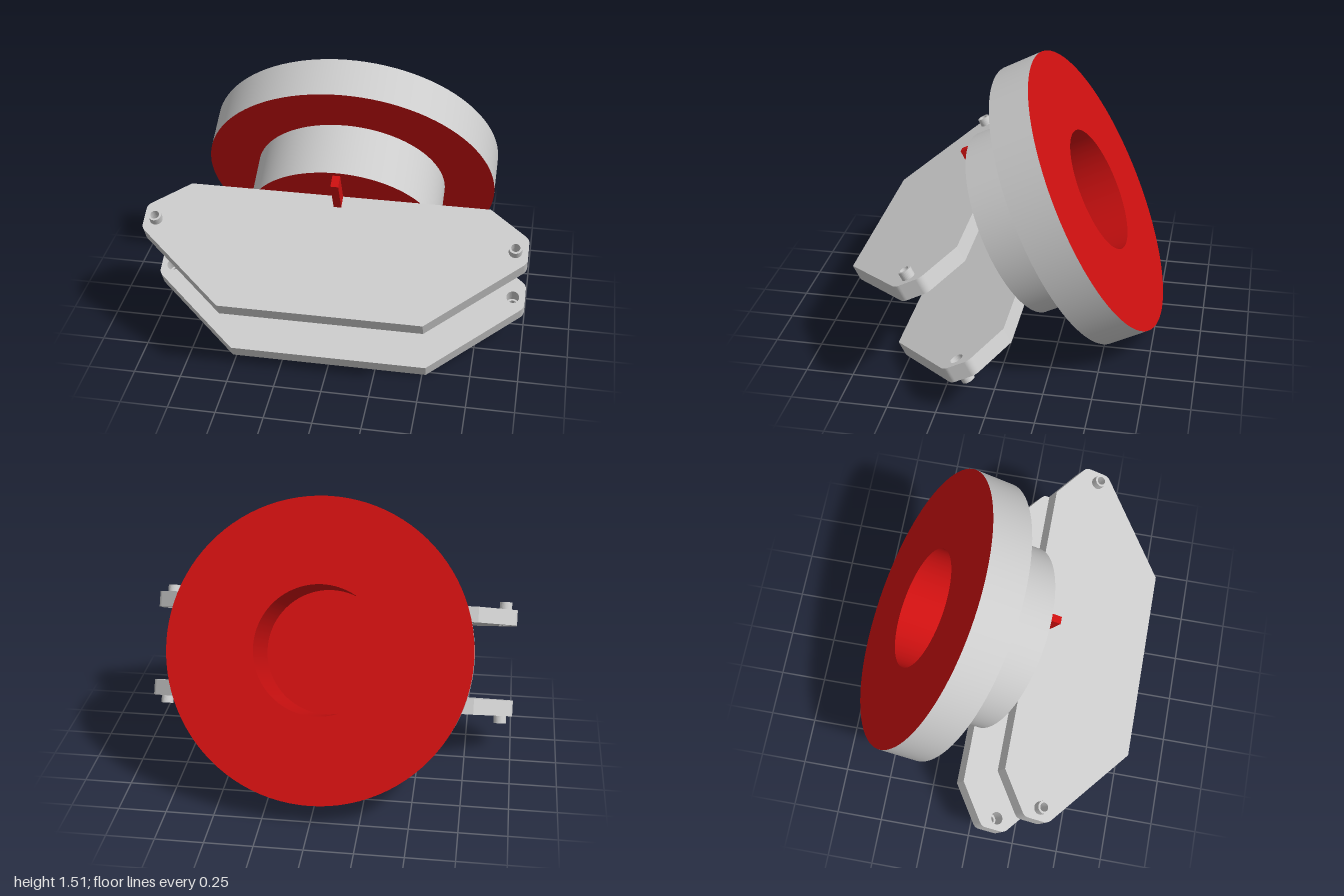
import * as THREE from 'three';

const grey = new THREE.MeshStandardMaterial({ color: 0xcccccc });
const red = new THREE.MeshStandardMaterial({ color: 0xcc1010 });

const HUB_FRONT = 0.517;
const PLATE_END = 1.215;
const PLATE_TOP = 0.29;
const PLATE_THICK = 0.085;
const HOLE = { x: 0.935, z: 0.752, r: 0.034 };

function add(parent, name, geometry, material) {
  const mesh = new THREE.Mesh(geometry, material);
  mesh.name = name;
  parent.add(mesh);
  return mesh;
}

// One straight band of the turned profile, spun around the z axis
function band(r0, z0, r1, z1) {
  const points = [new THREE.Vector2(r0, z0), new THREE.Vector2(r1, z1)];
  return new THREE.LatheGeometry(points, 96).rotateX(Math.PI / 2);
}

// Plate outline in x (width) and z (forward), with a hole at each tip
function plateGeometry() {
  const s = new THREE.Shape();
  s.moveTo(-0.79, HUB_FRONT);
  s.lineTo(0.79, HUB_FRONT);
  s.lineTo(0.98, 0.657);
  s.quadraticCurveTo(1, 0.672, 1, 0.695);
  s.lineTo(1, 0.785);
  s.quadraticCurveTo(1, 0.81, 0.98, 0.827);
  s.lineTo(0.52, PLATE_END);
  s.lineTo(-0.52, PLATE_END);
  s.lineTo(-0.98, 0.827);
  s.quadraticCurveTo(-1, 0.81, -1, 0.785);
  s.lineTo(-1, 0.695);
  s.quadraticCurveTo(-1, 0.672, -0.98, 0.657);
  s.closePath();
  for (const side of [-1, 1]) {
    const hole = new THREE.Path();
    hole.absarc(side * HOLE.x, HOLE.z, HOLE.r, 0, Math.PI * 2, true);
    s.holes.push(hole);
  }
  return new THREE.ExtrudeGeometry(s, { depth: PLATE_THICK, bevelEnabled: false, curveSegments: 16 })
    .rotateX(Math.PI / 2)
    .translate(0, PLATE_THICK / 2, 0);
}

// Short hollow collar standing around a hole
function collarGeometry(height) {
  const s = new THREE.Shape();
  s.absarc(0, 0, HOLE.r, 0, Math.PI * 2, false);
  const bore = new THREE.Path();
  bore.absarc(0, 0, 0.023, 0, Math.PI * 2, true);
  s.holes.push(bore);
  return new THREE.ExtrudeGeometry(s, { depth: height, bevelEnabled: false, curveSegments: 16 })
    .rotateX(Math.PI / 2)
    .translate(0, height / 2, 0);
}

export function createModel() {
  const model = new THREE.Group();
  model.name = 'discWithPlates';

  // Everything is built along z, then tipped forward
  const body = new THREE.Group();
  body.name = 'tiltedBody';
  body.position.set(0, 0.82, -0.4225);
  body.rotation.x = THREE.MathUtils.degToRad(27.3);
  model.add(body);

  // Turned disc and hub: grey rims, red faces and blind bore
  add(body, 'boreFloor', band(0, 0.47, 0.335, 0.47), red);
  add(body, 'boreWall', band(0.335, 0.47, 0.335, 0), red);
  add(body, 'discBackFace', band(0.335, 0, 0.785, 0), red);
  add(body, 'discRim', band(0.785, 0, 0.785, 0.222), grey);
  add(body, 'discFrontFace', band(0.785, 0.222, 0.515, 0.222), red);
  add(body, 'hubRim', band(0.515, 0.222, 0.515, HUB_FRONT), grey);
  add(body, 'hubFrontFace', band(0.515, HUB_FRONT, 0, HUB_FRONT), red);

  // Mirrored upper and lower plates with collars and marker bars
  const plate = plateGeometry();
  const collarHeight = 0.044;
  const collar = collarGeometry(collarHeight);
  for (const [label, dir] of [['upper', 1], ['lower', -1]]) {
    add(body, label + 'Plate', plate, grey).position.y = dir * (PLATE_TOP - PLATE_THICK / 2);
    for (const side of [-1, 1]) {
      add(body, label + 'Collar', collar, grey)
        .position.set(side * HOLE.x, dir * (PLATE_TOP + collarHeight / 2), HOLE.z);
    }
    add(body, label + 'Bar', new THREE.BoxGeometry(0.04, 0.2, 0.067), red)
      .position.set(0, dir * (PLATE_TOP + 0.1), HUB_FRONT + 0.0335);
  }

  return model;
}
